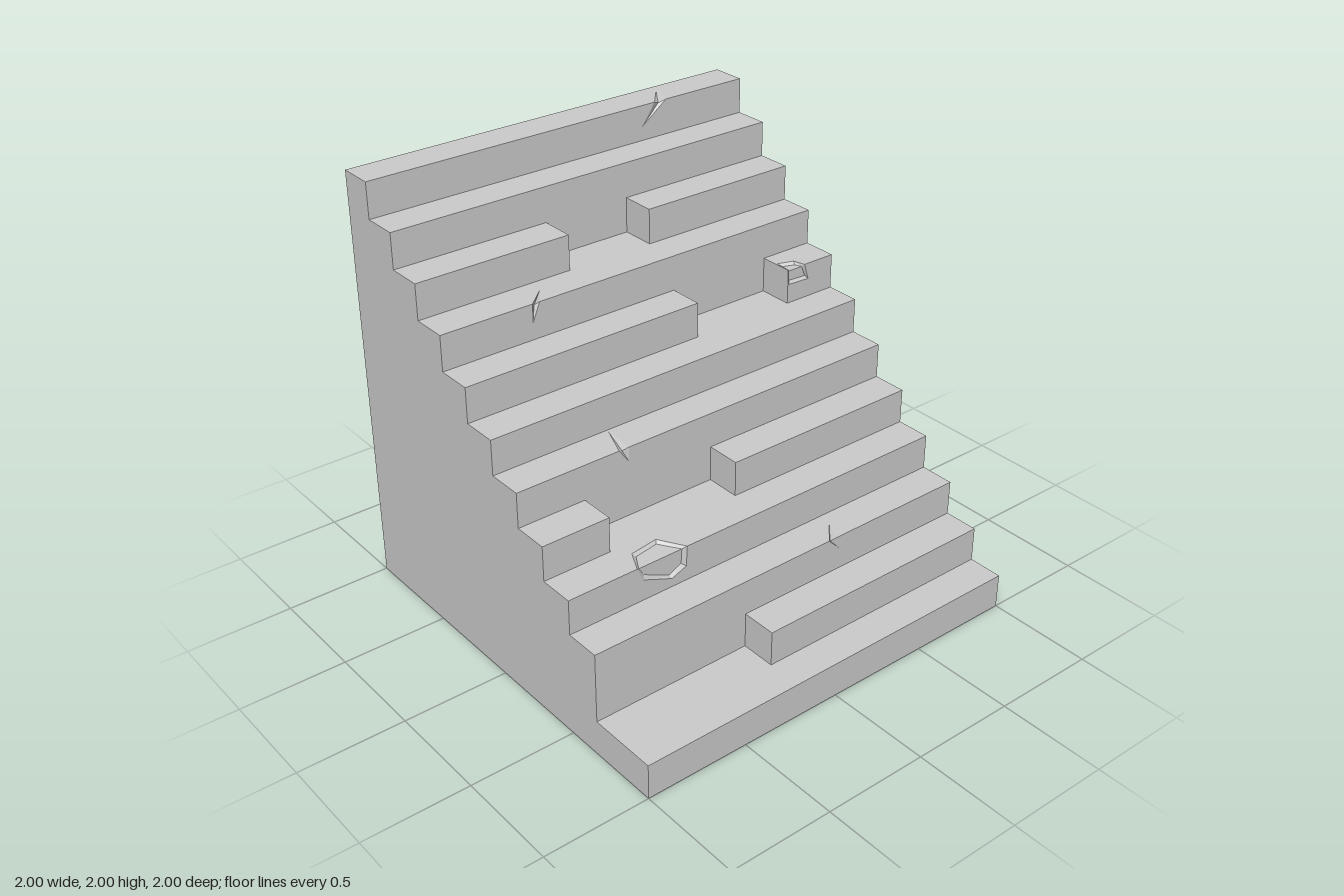
import * as THREE from 'three';
import { mergeGeometries } from 'three/addons/utils/BufferGeometryUtils.js';

const COUNT = 12, S = 1 / 6; // number of steps; rise and run of each
const frontZ = i => 1 - i * S;
const topY = i => (i + 1) * S;

// Missing stretches [x0, x1] of a step
const gaps = { 1: [-1, -0.22], 4: [-0.67, 0], 7: [0.2, 0.73], 9: [-0.24, 0.195] };

// Damage on step edges: a..b along the edge, front [x, y] on the riser, top [x, z] on the tread
const chips = {
  2: { a: 0.25, b: 0.29, front: [[0.31, 0.44]], top: [[0.34, 0.57]] },
  3: { a: -0.66, b: -0.4, pocket: true,
    front: [[-0.63, 0.6], [-0.48, 0.54], [-0.405, 0.57]], top: [[-0.61, 0.4], [-0.47, 0.38]] },
  5: { a: -0.49, b: -0.44, front: [[-0.44, 0.93]], top: [[-0.43, 0.01]] },
  7: { a: 0.735, b: 0.83, pocket: true,
    front: [[0.738, 1.26], [0.855, 1.255]], top: [[0.738, -0.25], [0.815, -0.225]] },
  8: { a: -0.55, b: -0.515, front: [[-0.553, 1.41]], top: [[-0.45, -0.425]] },
  11: { a: 0.49, b: 0.555, front: [[0.42, 1.9]], top: [[0.59, -0.95]] },
};

const flat = pts => new THREE.ShapeGeometry(new THREE.Shape(pts.map(p => new THREE.Vector2(...p))));

// Remaining x ranges of step i
function pieces(i) {
  const g = gaps[i];
  if (!g) return [[-1, 1]];
  return [[-1, g[0]], [g[1], 1]].filter(([a, b]) => b > a);
}

// Straight edge at value t from x0 to x1 with an optional detour
function edge(x0, x1, t, detour) {
  return detour && detour[0][0] >= x0 && detour[detour.length - 1][0] <= x1
    ? [[x0, t], ...detour, [x1, t]] : [[x0, t], [x1, t]];
}

// Detour around a chip, or into the space left by a missing stretch
const around = (chip, key, t) => chip && [[chip.a, t], ...chip[key], [chip.b, t]];
const into = (g, t, u) => g && [[g[0], t], [g[0], u], [g[1], u], [g[1], t]];

function treadGeometry(i, [x0, x1]) {
  const zf = frontZ(i), zb = frontZ(i + 1);
  const front = edge(x0, x1, zf, around(chips[i], 'top', zf));
  const back = edge(x0, x1, zb, into(gaps[i + 1], zb, zb - S)).reverse();
  return flat([...front, ...back].map(([x, z]) => [x, -z])).rotateX(-Math.PI / 2).translate(0, topY(i), 0);
}

function riserGeometry(i, [x0, x1]) {
  const y = topY(i), yb = y - S;
  const top = edge(x0, x1, y, around(chips[i], 'front', y)).reverse();
  const bottom = edge(x0, x1, yb, into(gaps[i - 1], yb, yb - S));
  return flat([...bottom, ...top]).translate(0, 0, frontZ(i));
}

// Carved facets of one chip: a narrow groove or a shallow flat-bottomed pocket
function chipGeometry(i, { a, b, front, top, pocket }) {
  const y = topY(i), z = frontZ(i), d = 0.013, pos = [];
  const tri = (...p) => p.forEach(v => pos.push(...v));
  const A = [a, y, z], B = [b, y, z];
  const paths = [[A, ...front.map(([x, v]) => [x, v, z]), B], [A, ...top.map(([x, v]) => [x, y, v]), B]];
  const mid = (a + b) / 2;
  paths.forEach((path, side) => {
    if (!pocket) {
      const deep = [mid, y - 0.015, z - 0.015];
      for (let k = 0; k + 1 < path.length; k++) tri(path[k], path[k + 1], deep);
      return;
    }
    // Inner outline: drawn in from the rim and sunk into the step
    const inner = path.map((p, k) => {
      const x = p[0] + (mid - p[0]) * 0.14;
      if (k === 0 || k === path.length - 1) return [x, y - d, z - d];
      return side === 0 ? [x, p[1] + d, z - d] : [x, y - d, p[2] + d];
    });
    for (let k = 0; k + 1 < path.length; k++) {
      tri(path[k], path[k + 1], inner[k + 1]);
      tri(path[k], inner[k + 1], inner[k]);
      if (k > 0) tri(inner[0], inner[k], inner[k + 1]);
    }
  });
  const geo = new THREE.BufferGeometry();
  geo.setAttribute('position', new THREE.Float32BufferAttribute(pos, 3));
  geo.computeVertexNormals();
  return geo;
}

// Stepped side wall; sx is +1 for the left side and -1 for the right
function sideGeometry(sx) {
  const pts = [[-1, 0], [1, 0]];
  let z = 1;
  for (let i = 0; i < COUNT; i++) {
    if (!pieces(i).some(([a, b]) => (sx > 0 ? b === 1 : a === -1))) continue;
    if (i > 0) {
      // tread below runs back to this riser
      const yPrev = pts[pts.length - 1][1];
      z = frontZ(i);
      pts.push([z, yPrev]);
    }
    pts.push([z, topY(i)]);
  }
  pts.push([-1, 2]);
  return flat(pts.map(([pz, py]) => [-sx * pz, py])).rotateY(sx * Math.PI / 2).translate(sx, 0, 0);
}

export function createModel() {
  const model = new THREE.Group();
  model.name = 'brokenStaircase';
  const solid = new THREE.MeshStandardMaterial({ color: 0xcccccc, flatShading: true });
  const carved = new THREE.MeshStandardMaterial({ color: 0xcccccc, flatShading: true, side: THREE.DoubleSide });
  const add = (name, geo, mat = solid) => {
    const mesh = new THREE.Mesh(geo, mat);
    mesh.name = name;
    model.add(mesh);
  };

  // Steps
  for (let i = 0; i < COUNT; i++) {
    const parts = pieces(i).flatMap(p => [treadGeometry(i, p), riserGeometry(i, p)]);
    // End faces beside a missing stretch
    (gaps[i] || []).forEach((x, k) => {
      if (Math.abs(x) === 1) return;
      parts.push(new THREE.PlaneGeometry(S, S).rotateY((k ? -1 : 1) * Math.PI / 2)
        .translate(x, topY(i) - S / 2, frontZ(i) - S / 2));
    });
    add(`step${i + 1}`, mergeGeometries(parts));
    if (chips[i]) add(`chip${i + 1}`, chipGeometry(i, chips[i]), carved);
  }

  // Outer walls and underside
  add('leftSide', sideGeometry(1));
  add('rightSide', sideGeometry(-1));
  add('backWall', new THREE.PlaneGeometry(2, 2).rotateY(Math.PI).translate(0, 1, -1));
  add('underside', new THREE.PlaneGeometry(2, 2).rotateX(Math.PI / 2));
  return model;
}
